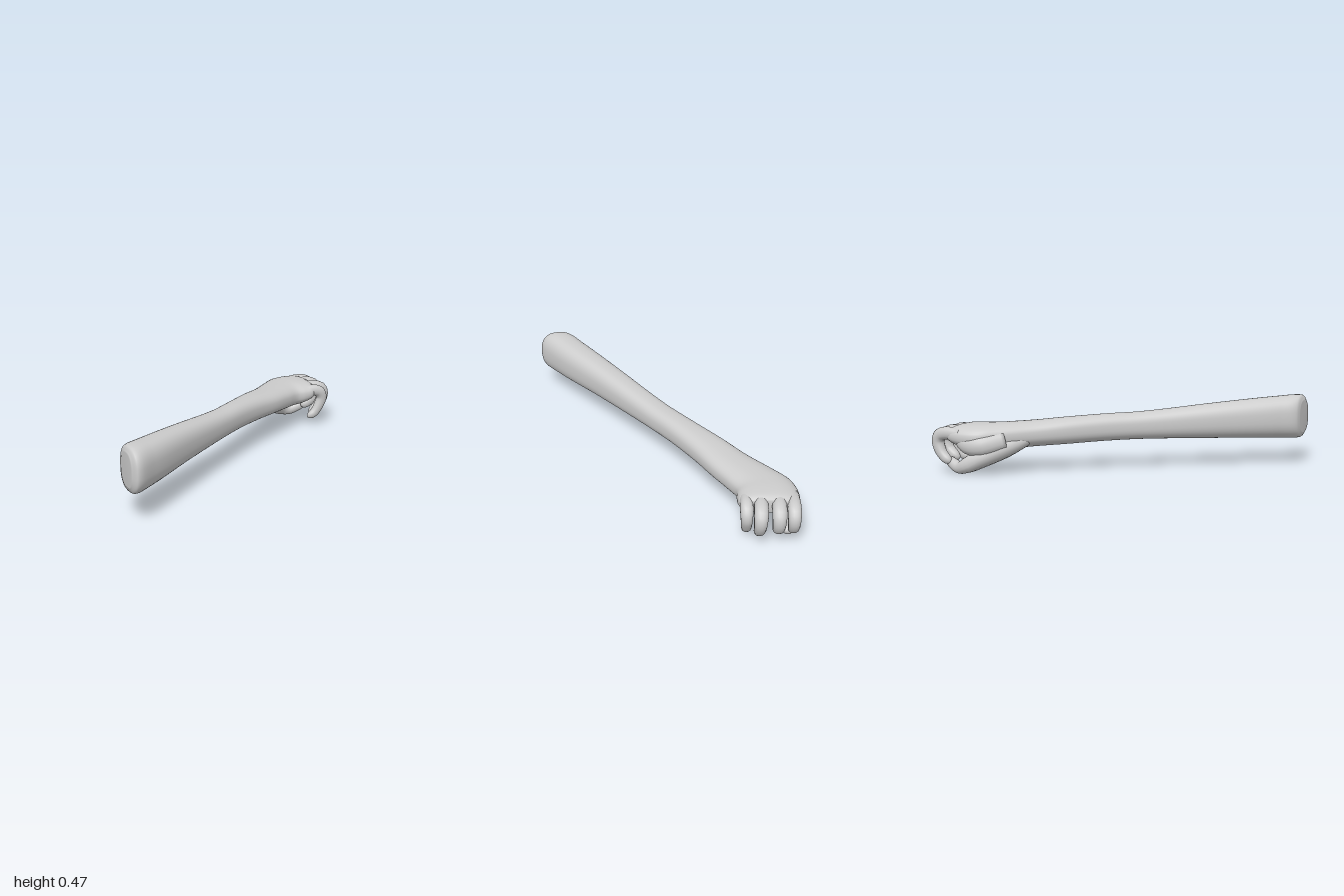
import * as THREE from 'three';

const V = (x, y, z) => new THREE.Vector3(x, y, z);

// Skins rings { c, u, v } (centre and two half axes) into a smooth closed surface
function loft(rings, sides, power, material, name) {
  const pos = [], idx = [];
  const soft = (k) => Math.sign(k) * Math.abs(k) ** (2 / power);
  for (const { c, u, v } of rings) {
    for (let j = 0; j < sides; j++) {
      const a = (j / sides) * Math.PI * 2;
      const p = c.clone().addScaledVector(u, soft(Math.cos(a))).addScaledVector(v, soft(Math.sin(a)));
      pos.push(p.x, p.y, p.z);
    }
  }
  for (let i = 0; i < rings.length - 1; i++) {
    for (let j = 0; j < sides; j++) {
      const k = (j + 1) % sides;
      const a = i * sides + j, b = i * sides + k, c = a + sides, d = b + sides;
      idx.push(a, b, c, b, d, c);
    }
  }
  // end caps
  const last = (rings.length - 1) * sides, start = rings.length * sides;
  pos.push(...rings[0].c.toArray(), ...rings[rings.length - 1].c.toArray());
  for (let j = 0; j < sides; j++) {
    const k = (j + 1) % sides;
    idx.push(start, k, j, start + 1, last + j, last + k);
  }
  const g = new THREE.BufferGeometry();
  g.setAttribute('position', new THREE.Float32BufferAttribute(pos, 3));
  g.setIndex(idx);
  g.computeVertexNormals();
  const mesh = new THREE.Mesh(g, material);
  mesh.name = name;
  return mesh;
}

// Round-ended digit along a path; side is the direction across it, flat scales its thickness
function digit(points, radii, side, flat, material, name) {
  const path = new THREE.CatmullRomCurve3(points);
  const size = new THREE.CatmullRomCurve3(radii.map((r, i) => V(i, r, 0)));
  const rings = [];
  const steps = 28;
  for (let i = 0; i <= steps; i++) {
    // rings crowd together towards the tip to round it off
    const t = Math.sin((i / steps) * Math.PI / 2);
    const d = path.getTangent(t);
    const u = side.clone().addScaledVector(d, -side.dot(d)).normalize();
    const v = d.clone().cross(u);
    const tip = Math.max(0, (t - 0.88) / 0.12);
    const r = size.getPoint(t).y * Math.sqrt(Math.max(0.002, 1 - tip * tip));
    rings.push({ c: path.getPoint(t), u: u.multiplyScalar(r), v: v.multiplyScalar(r * flat) });
  }
  return loft(rings, 18, 2.2, material, name);
}

export function createModel() {
  const group = new THREE.Group();
  group.name = 'arm';
  const skin = new THREE.MeshStandardMaterial({ color: 0xcccccc });
  skin.name = 'plain grey';

  // Forearm, wrist and palm: thumb edge x, z; little-finger edge x, z; bottom, top
  const sections = [
    [-1.0, 0.69, -0.985, 0.86, 0.22, 0.44],
    [-0.99, 0.645, -0.945, 0.9, 0.183, 0.478],
    [-0.9, 0.56, -0.8, 0.79, 0.183, 0.473],
    [-0.6, 0.30, -0.46, 0.46, 0.193, 0.438],
    [-0.2, -0.04, -0.1, 0.12, 0.2, 0.39],
    [0.0, -0.23, 0.1, -0.06, 0.195, 0.378],
    [0.2, -0.44, 0.3, -0.22, 0.182, 0.363],
    [0.36, -0.6, 0.47, -0.34, 0.172, 0.346],
    [0.5, -0.76, 0.6, -0.44, 0.16, 0.338],
    [0.6, -0.86, 0.69, -0.5, 0.155, 0.335],
    [0.71, -0.9, 0.76, -0.505, 0.165, 0.333],
    [0.81, -0.9, 0.82, -0.515, 0.19, 0.325],
    [0.86, -0.87, 0.855, -0.55, 0.215, 0.305],
  ];
  const curve = (f) => new THREE.CatmullRomCurve3(sections.map(f));
  const thumbEdge = curve((s) => V(s[0], 0, s[1]));
  const outerEdge = curve((s) => V(s[2], 0, s[3]));
  const heights = curve((s, i) => V(s[4], s[5], i * 0.15));
  const rings = [];
  for (let i = 0; i <= 72; i++) {
    const t = i / 72;
    const a = thumbEdge.getPoint(t), b = outerEdge.getPoint(t), h = heights.getPoint(t);
    const c = a.clone().add(b).multiplyScalar(0.5).setY((h.x + h.y) / 2);
    rings.push({ c, u: a.sub(b).multiplyScalar(0.5), v: V(0, (h.y - h.x) / 2, 0) });
  }
  group.add(loft(rings, 40, 2.5, skin, 'forearmAndPalm'));

  // Four curled fingers: knuckle z, tip z, forward reach, tip height, radius
  const fingers = [
    ['indexFinger', -0.86, -0.862, -0.012, 0.08, 0.041],
    ['middleFinger', -0.768, -0.765, 0.0, 0.09, 0.044],
    ['ringFinger', -0.655, -0.645, 0.012, 0.075, 0.043],
    ['littleFinger', -0.56, -0.568, -0.035, 0.065, 0.039],
  ];
  for (const [name, z0, z1, reach, tipY, r] of fingers) {
    const points = [
      [0.74, 0.265], [0.85, 0.272], [0.925, 0.255], [0.945, 0.21],
      [0.925, 0.15], [0.89, tipY + 0.03], [0.835, tipY - 0.005],
    ].map(([x, y], i) => V(x + reach * Math.min(1, i / 2), y, z0 + (z1 - z0) * (i / 6)));
    const radii = [0.95, 1.05, 1.08, 1, 0.92, 0.82, 0.7].map((k) => k * r);
    group.add(digit(points, radii, V(0, 0, 1), 1, skin, name));
  }

  // Thumb: heavy base under the wrist, curving forward to meet the index finger
  group.add(digit(
    [V(0.4, 0.23, -0.57), V(0.5, 0.18, -0.68), V(0.6, 0.125, -0.79), V(0.69, 0.07, -0.845),
      V(0.76, 0.046, -0.85), V(0.83, 0.068, -0.835), V(0.885, 0.095, -0.82)],
    [0.04, 0.068, 0.07, 0.056, 0.042, 0.037, 0.03], V(0, 0, 1), 0.95, skin, 'thumb'));

  // Web of flesh between the thumb and the palm
  group.add(digit(
    [V(0.5, 0.23, -0.7), V(0.6, 0.2, -0.81), V(0.68, 0.2, -0.845), V(0.76, 0.24, -0.85)],
    [0.06, 0.065, 0.055, 0.04], V(0, 0, 1), 1.1, skin, 'thumbWeb'));

  return group;
}
